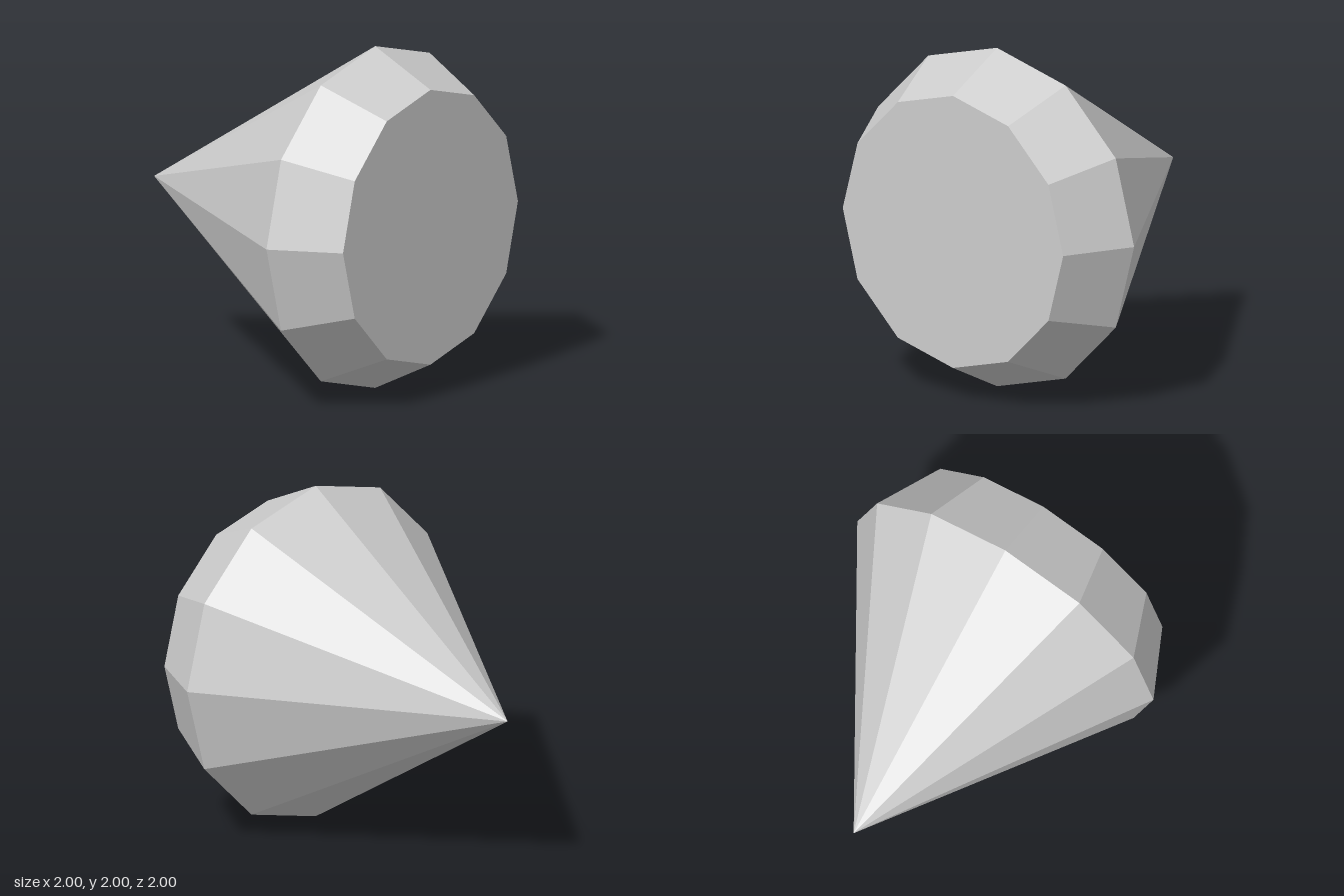
import * as THREE from 'three';

const SIDES = 12;
const GIRDLE_RADIUS = 1;
const TABLE_RADIUS = 0.804;
const TABLE_Z = 1;
const GIRDLE_Z = 0.6;
const TIP_Z = -1;

export function createModel() {
  const model = new THREE.Group();
  model.name = 'gem';
  const stone = new THREE.MeshStandardMaterial({ color: 0xcccccc, flatShading: true });
  stone.name = 'pale grey stone';

  const add = (name, geometry, z) => {
    const mesh = new THREE.Mesh(geometry, stone);
    mesh.name = name;
    mesh.position.set(0, 1, z);
    model.add(mesh);
  };

  // Open ring of facets along z, from the front radius to the back radius
  const facets = (name, frontRadius, backRadius, frontZ, backZ) => {
    const geometry = new THREE.CylinderGeometry(
      frontRadius, backRadius, frontZ - backZ, SIDES, 1, true);
    geometry.rotateX(Math.PI / 2);
    add(name, geometry, (frontZ + backZ) / 2);
  };

  // Flat front face, bevelled crown and pointed back
  add('table', new THREE.CircleGeometry(TABLE_RADIUS, SIDES), TABLE_Z);
  facets('crown', TABLE_RADIUS, GIRDLE_RADIUS, TABLE_Z, GIRDLE_Z);
  facets('pavilion', GIRDLE_RADIUS, 0, GIRDLE_Z, TIP_Z);

  return model;
}
